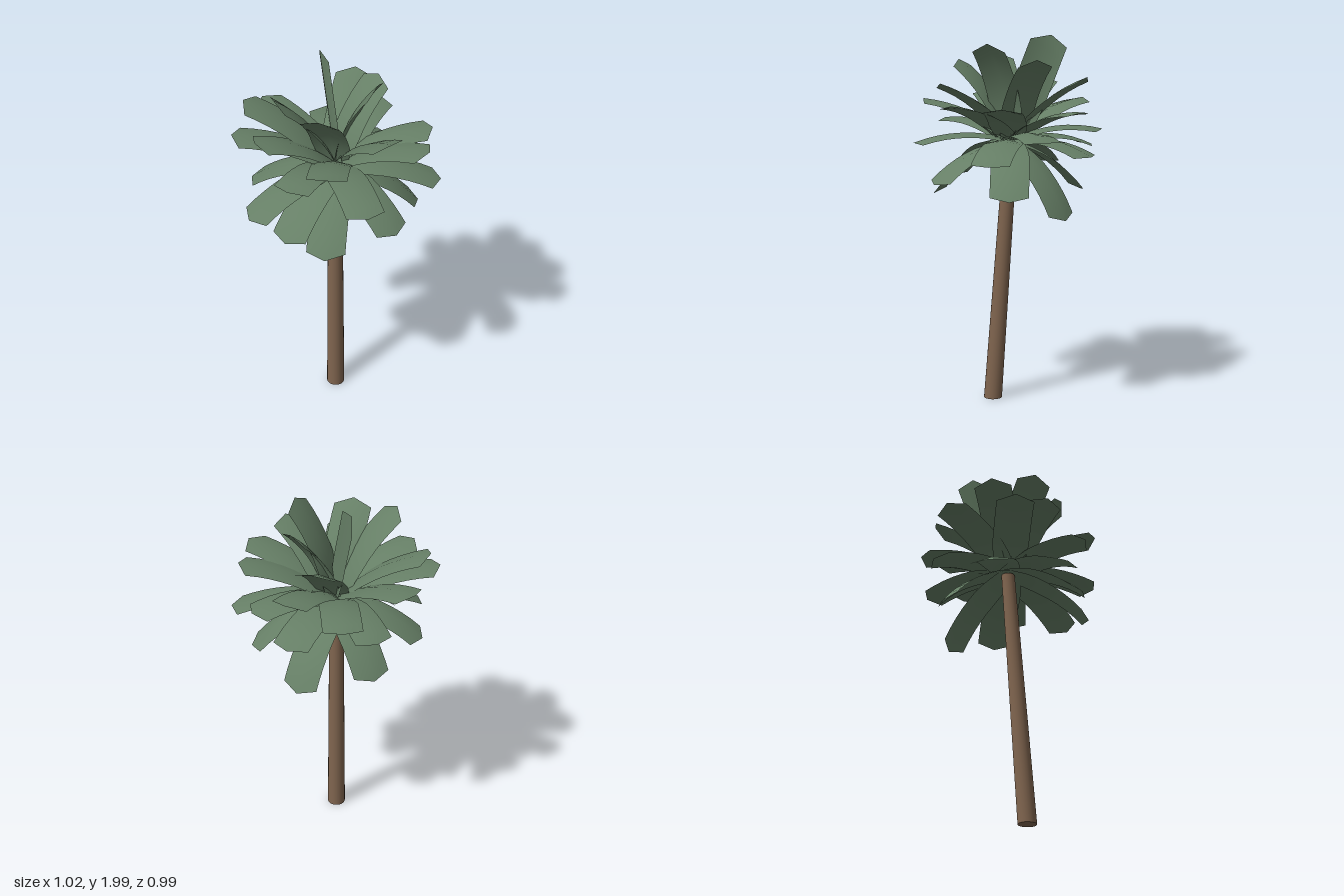
import * as THREE from 'three';

const CROWN = new THREE.Vector3(0.005, 1.44, -0.02);

// Frond tips, from the upright heart leaves down to the drooping skirt
const TIPS = [
  [0.17, 1.95, 0.14], [-0.33, 1.89, 0.0], [0.27, 1.87, -0.1], [-0.18, 1.86, 0.23],
  [0.15, 1.75, 0.38], [-0.4, 1.75, -0.29], [0.25, 1.78, -0.37],
  [-0.44, 1.68, 0.02], [-0.21, 1.65, 0.42], [0.36, 1.65, 0.36], [0.48, 1.64, 0.13],
  [0.37, 1.61, -0.32], [-0.24, 1.64, -0.48], [-0.5, 1.62, -0.19],
  [-0.36, 1.53, 0.28], [0.13, 1.5, -0.49], [0.48, 1.47, -0.1], [-0.02, 1.43, 0.5],
  [-0.05, 1.4, -0.48], [0.51, 1.36, 0.2], [0.38, 1.38, -0.36], [-0.51, 1.28, 0.1],
  [-0.37, 1.27, -0.3], [0.17, 1.23, 0.42], [-0.37, 1.2, 0.25], [0.44, 1.17, 0.08],
  [-0.2, 1.13, 0.37], [-0.06, 1.15, -0.43], [0.3, 1.04, -0.25],
];

// A broad arched strip with a blunt point, swept along a bent midrib
function frondGeometry(tip, sideways) {
  const dir = tip.clone().sub(CROWN);
  const side = sideways || new THREE.Vector3(dir.z, 0, -dir.x).normalize();
  const up = new THREE.Vector3().crossVectors(dir, side).normalize();
  const bend = sideways ? 0.0 : 0.09;
  const mid = CROWN.clone().lerp(tip, 0.5).addScaledVector(up, bend);
  const midrib = new THREE.QuadraticBezierCurve3(CROWN, mid, tip);
  const rows = 8, pos = [], index = [];
  for (let i = 0; i <= rows; i++) {
    const t = i / rows;
    const half = 0.07 + 0.03 * Math.min(1, t * 3);
    for (let s = -1; s <= 1; s++) {
      const p = midrib.getPoint(t * (1 - 0.08 * Math.abs(s)));
      p.addScaledVector(side, s * half).addScaledVector(up, -0.018 * Math.abs(s));
      pos.push(p.x, p.y, p.z);
    }
  }
  for (let i = 0; i < rows; i++) {
    for (let j = 0; j < 2; j++) {
      const a = i * 3 + j, b = a + 3;
      index.push(a, b, a + 1, a + 1, b, b + 1);
    }
  }
  const g = new THREE.BufferGeometry();
  g.setAttribute('position', new THREE.Float32BufferAttribute(pos, 3));
  g.setIndex(index);
  g.computeVertexNormals();
  return g;
}

export function createModel() {
  const bark = new THREE.MeshStandardMaterial({ color: 0x80654f });
  bark.name = 'bark brown';
  const leaf = new THREE.MeshStandardMaterial({ color: 0x667f66, side: THREE.DoubleSide });
  leaf.name = 'leaf green';

  const model = new THREE.Group();
  model.name = 'palmTree';

  // Tapered trunk, sheared so that it leans toward the crown
  const height = 1.42;
  const trunkGeo = new THREE.CylinderGeometry(0.037, 0.05, height, 20, 4);
  trunkGeo.translate(0, height / 2, 0);
  const p = trunkGeo.attributes.position;
  for (let i = 0; i < p.count; i++) {
    const t = p.getY(i) / height;
    p.setX(i, p.getX(i) - 0.03 + 0.033 * t);
    p.setZ(i, p.getZ(i) + 0.074 - 0.094 * t);
  }
  trunkGeo.computeBoundingSphere();
  const trunk = new THREE.Mesh(trunkGeo, bark);
  trunk.name = 'trunk';
  model.add(trunk);

  // Crown of fronds
  const crown = new THREE.Group();
  crown.name = 'crown';
  for (const tip of TIPS) {
    const frond = new THREE.Mesh(frondGeometry(new THREE.Vector3(...tip)), leaf);
    frond.name = 'frond';
    crown.add(frond);
  }

  // Upright heart leaf, turned edge-on to the front
  const heart = new THREE.Mesh(
    frondGeometry(new THREE.Vector3(0, 1.99, -0.24), new THREE.Vector3(0.1, -0.25, -0.96).normalize()), leaf);
  heart.name = 'heartFrond';
  crown.add(heart);
  model.add(crown);
  return model;
}
